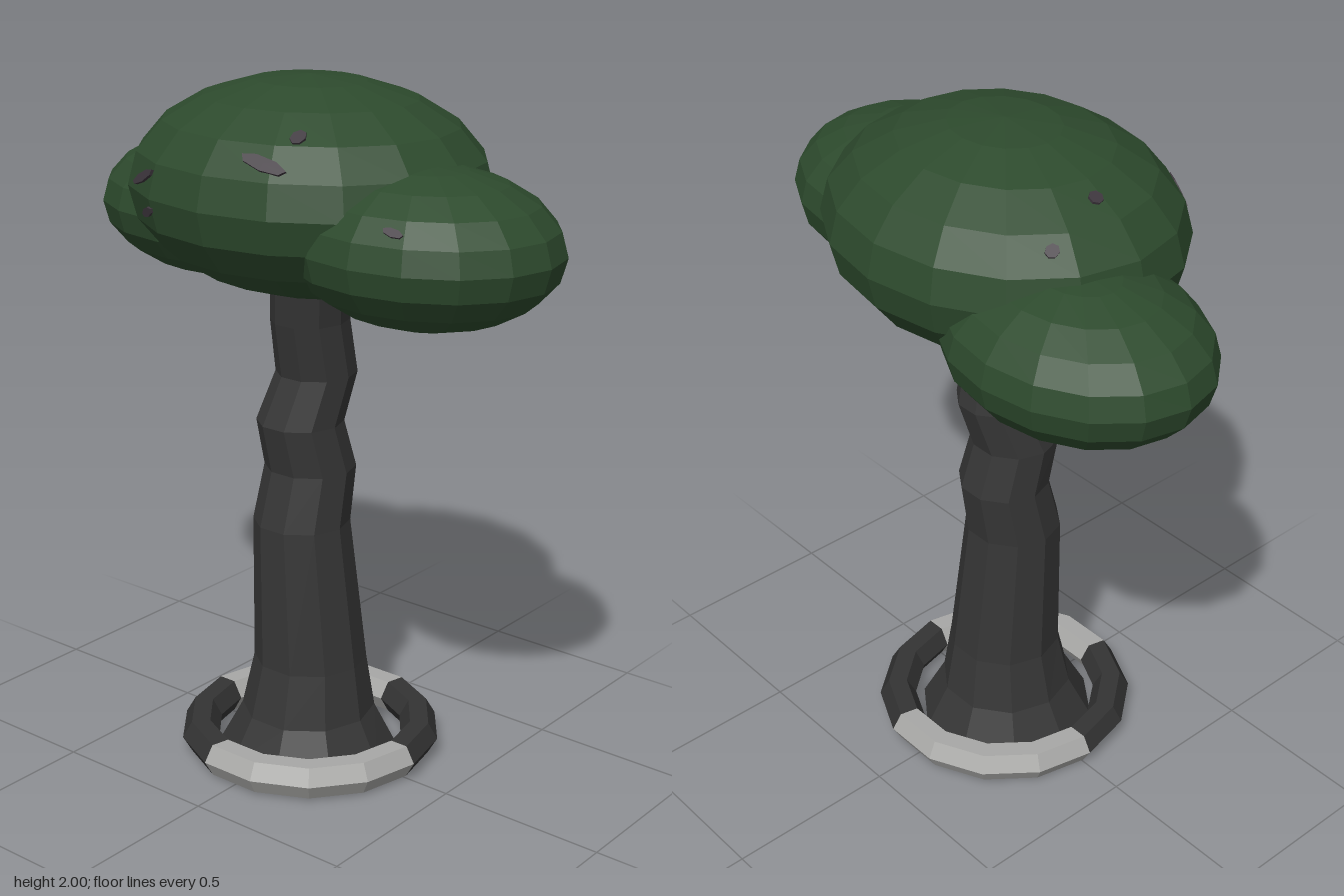
import * as THREE from 'three';

const mat = (name, color) => {
  const m = new THREE.MeshStandardMaterial({ color, flatShading: true });
  m.name = name;
  return m;
};

// Closed loft through horizontal elliptical rings [y, xMin, xMax, zMin, zMax]
function loft(rings, sides) {
  const pos = [], idx = [];
  for (const [y, x0, x1, z0, z1] of rings) {
    for (let i = 0; i < sides; i++) {
      const a = (i / sides) * Math.PI * 2;
      pos.push((x0 + x1) / 2 + (x1 - x0) / 2 * Math.cos(a), y, (z0 + z1) / 2 + (z1 - z0) / 2 * Math.sin(a));
    }
  }
  for (let r = 0; r < rings.length - 1; r++) {
    for (let i = 0; i < sides; i++) {
      const a = r * sides + i, b = r * sides + (i + 1) % sides;
      idx.push(a, a + sides, b, b, a + sides, b + sides);
    }
  }
  const top = (rings.length - 1) * sides;
  for (let i = 1; i < sides - 1; i++) {
    idx.push(0, i, i + 1, top, top + i + 1, top + i);
  }
  const g = new THREE.BufferGeometry();
  g.setAttribute('position', new THREE.Float32BufferAttribute(pos, 3));
  g.setIndex(idx);
  g.computeVertexNormals();
  return g;
}

export function createModel() {
  const model = new THREE.Group();
  const leaf = mat('leafGreen', 0x2d4a2d);
  const bark = mat('barkGrey', 0x363636);
  const stone = mat('lightStone', 0xa8a8a6);
  const darkStone = mat('darkStone', 0x333333);
  const spot = mat('spotGrey', 0x3d363d);

  const add = (name, geometry, material) => {
    const mesh = new THREE.Mesh(geometry, material);
    mesh.name = name;
    model.add(mesh);
    return mesh;
  };

  // Crooked trunk with a flared foot
  add('trunk', loft([
    [0, -0.27, 0.26, -0.26, 0.27],
    [0.13, -0.2, 0.19, -0.195, 0.2],
    [0.29, -0.165, 0.165, -0.165, 0.165],
    [0.72, -0.16, 0.12, -0.125, 0.155],
    [0.88, -0.145, 0.12, -0.145, 0.115],
    [1.02, -0.15, 0.1, -0.11, 0.14],
    [1.16, -0.115, 0.115, -0.145, 0.09],
    [1.32, -0.108, 0.11, -0.115, 0.12],
    [1.5, -0.09, 0.13, -0.09, 0.14],
  ], 10), bark);

  // Stone ring in alternating light and dark stretches, swapped underneath
  const ring = new THREE.TorusGeometry(0.33, 0.055, 6, 14);
  ring.rotateX(Math.PI / 2);
  for (let j = 0; j < 6; j++) {
    for (let i = 0; i < 14; i++) {
      const dark = i % 7 >= 4;
      ring.addGroup((j * 14 + i) * 6, 6, dark !== (j === 1) ? 1 : 0);
    }
  }
  add('baseRing', ring, [stone, darkStone]).position.y = 0.055;

  // Foliage clumps: centre and radii
  const clumps = {
    mainFoliage: [[0, 1.7, 0], [0.53, 0.3, 0.46]],
    rightFoliage: [[-0.42, 1.57, -0.13], [0.4, 0.21, 0.32]],
    leftFoliage: [[0.43, 1.605, 0.06], [0.39, 0.215, 0.325]],
  };
  for (const [name, [c, r]] of Object.entries(clumps)) {
    const mesh = add(name, new THREE.SphereGeometry(1, 16, 10), leaf);
    mesh.position.set(...c);
    mesh.scale.set(...r);
  }

  // Small dark flecks lying flat on a clump, placed by direction
  const fleck = (clump, dx, dy, dz, length, width) => {
    const [c, r] = clumps[clump];
    const u = new THREE.Vector3(dx, dy, dz).normalize();
    const n = new THREE.Vector3(u.x / r[0], u.y / r[1], u.z / r[2]).normalize();
    const mesh = add('fleck', new THREE.CylinderGeometry(1, 1, 0.008, 7), spot);
    mesh.position.set(c[0] + u.x * r[0], c[1] + u.y * r[1], c[2] + u.z * r[2]).addScaledVector(n, -0.004);
    mesh.quaternion.setFromUnitVectors(new THREE.Vector3(0, 1, 0), n);
    mesh.scale.set(length, 1, width);
  };
  fleck('mainFoliage', -0.47, 0.17, 0.86, 0.06, 0.014);
  fleck('mainFoliage', -0.42, -0.13, 0.9, 0.035, 0.013);
  fleck('mainFoliage', 0.3, 0.45, 0.83, 0.07, 0.02);
  fleck('mainFoliage', 0.38, 0.65, 0.64, 0.02, 0.025);
  fleck('mainFoliage', -0.68, 0.73, -0.04, 0.02, 0.02);
  fleck('mainFoliage', -0.75, 0.5, -0.43, 0.018, 0.02);
  fleck('leftFoliage', 0.26, 0.47, 0.84, 0.03, 0.012);

  return model;
}
